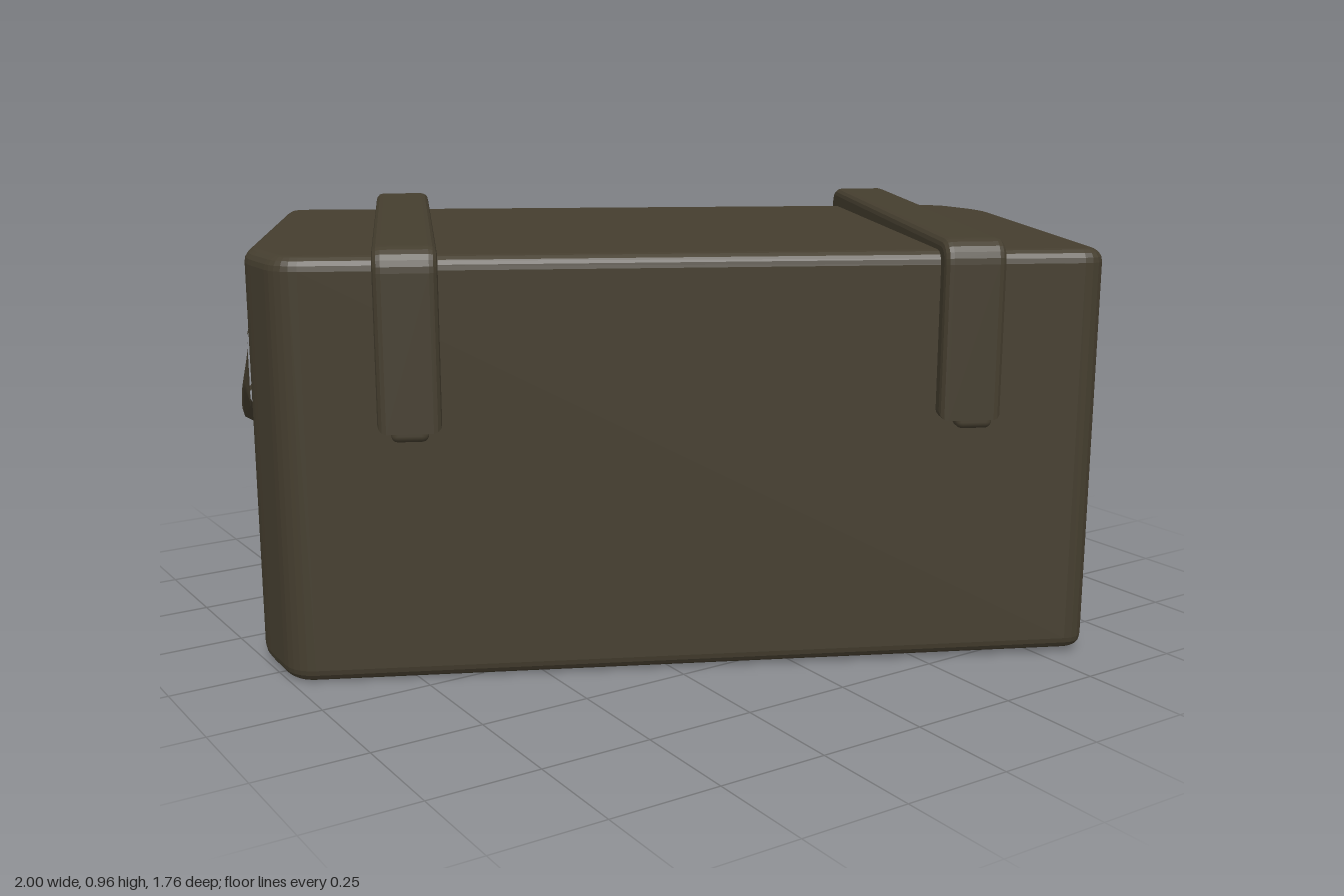
import * as THREE from 'three';
import { RoundedBoxGeometry } from 'three/addons/geometries/RoundedBoxGeometry.js';

const HU = 0.934, HV = 0.53, TOP = 0.93;

// The case is built along u (x), y, v (z), then turned into place
const TURN = -Math.atan2(0.454, 0.891);

function moveVertices(geometry, rule) {
  const p = geometry.attributes.position;
  const v = new THREE.Vector3();
  for (let i = 0; i < p.count; i++) {
    v.fromBufferAttribute(p, i);
    rule(v);
    p.setXYZ(i, v.x, v.y, v.z);
  }
  geometry.computeVertexNormals();
  return geometry;
}

// Closed outline with softened corners
function roundedOutline(corners, r) {
  const shape = new THREE.Shape();
  const pts = corners.map(([x, y]) => new THREE.Vector2(x, y));
  const toward = (a, b) => b.clone().sub(a).setLength(r).add(a);
  pts.forEach((p, i) => {
    const start = toward(p, pts[(i + pts.length - 1) % pts.length]);
    const end = toward(p, pts[(i + 1) % pts.length]);
    if (i === 0) shape.moveTo(start.x, start.y);
    else shape.lineTo(start.x, start.y);
    shape.quadraticCurveTo(p.x, p.y, end.x, end.y);
  });
  shape.closePath();
  return shape;
}

// Body with two opposite corners cut off and a gently sloping base and lid
function bodyGeometry() {
  const b = 0.03;
  const half = [[HU, 0.37], [HU, -HV], [-0.852, -HV]];
  const outline = roundedOutline([...half, ...half.map(([x, y]) => [-x, -y])], 0.05);
  const g = new THREE.ExtrudeGeometry(outline, {
    depth: TOP - 2 * b, bevelEnabled: true, bevelThickness: b, bevelSize: b,
    bevelOffset: -b, bevelSegments: 4, curveSegments: 5,
  });
  g.translate(0, 0, b);
  g.rotateX(-Math.PI / 2);
  return moveVertices(g, (v) => {
    const s = v.x / HU, t = v.z / HV;
    const low = 0.03 - 0.024 * t + 0.006 * s;
    const high = TOP + 0.009 * t - 0.004 * s;
    v.y = low + (v.y / TOP) * (high - low);
  });
}

// U-shaped strap over the lid; the back leg is longer than the front one
function strapGeometry(u, skew) {
  const b = 0.018, out = HV + 0.042 - b, inner = HV - 0.04, top = 0.964 - b, r = 0.035;
  const front = 0.57 + b, back = 0.44 + b;
  const s = new THREE.Shape();
  s.moveTo(-out, front);
  s.lineTo(-inner, front);
  s.lineTo(-inner, TOP - 0.05);
  s.lineTo(inner, TOP - 0.05);
  s.lineTo(inner, back);
  s.lineTo(out, back);
  s.lineTo(out, top - r);
  s.quadraticCurveTo(out, top, out - r, top);
  s.lineTo(-out + r, top);
  s.quadraticCurveTo(-out, top, -out, top - r);
  const depth = 0.1;
  const g = new THREE.ExtrudeGeometry(s, {
    depth, bevelEnabled: true, bevelThickness: b, bevelSize: b, bevelSegments: 3, curveSegments: 6,
  });
  g.translate(0, 0, -depth / 2);
  g.rotateY(Math.PI / 2);
  return moveVertices(g, (v) => { v.x += u + skew * v.z; });
}

// Sagging grip on the end face: stations give (reach, lip height, v)
function handleGeometry() {
  const path = new THREE.CatmullRomCurve3([
    [0, 0.6, -0.36], [0.022, 0.61, -0.29], [0.045, 0.56, -0.17], [0.066, 0.49, -0.03],
    [0.085, 0.48, 0.15], [0.068, 0.49, 0.24], [0.025, 0.54, 0.32], [0, 0.58, 0.38],
  ].map((p) => new THREE.Vector3(...p)));
  const rows = 32, positions = [], index = [];
  let cols = 0;
  for (let i = 0; i <= rows; i++) {
    const { x, y, z } = path.getPoint(i / rows);
    const out = Math.max(0, x);
    const section = [
      [-0.02, y + 0.18], [out * 0.12, y + 0.15], [out * 0.4, y + 0.1], [out * 0.8, y + 0.05],
      [out, y + 0.02], [out * 0.92, y], [out * 0.5, y - 0.015], [out * 0.1, y - 0.04], [-0.02, y - 0.06],
    ];
    cols = section.length;
    for (const [du, py] of section) positions.push(HU + du, py, z);
  }
  for (let i = 0; i < rows; i++) {
    for (let j = 0; j < cols - 1; j++) {
      const a = i * cols + j, b = a + 1, c = a + cols, d = c + 1;
      index.push(a, c, d, a, d, b);
    }
  }
  const g = new THREE.BufferGeometry();
  g.setAttribute('position', new THREE.Float32BufferAttribute(positions, 3));
  g.setIndex(index);
  g.computeVertexNormals();
  return g;
}

export function createModel() {
  const group = new THREE.Group();
  group.name = 'storageCase';
  const olive = new THREE.MeshStandardMaterial({ color: 0x453e2f });
  olive.name = 'dark olive';

  const add = (name, geometry) => {
    const mesh = new THREE.Mesh(geometry.rotateY(TURN), olive);
    mesh.name = name;
    group.add(mesh);
  };

  add('body', bodyGeometry());
  add('rightStrap', strapGeometry(-0.605, 0.045));
  add('leftStrap', strapGeometry(0.625, 0.01));
  add('leftHandle', handleGeometry());
  add('rightHandle', handleGeometry().rotateY(Math.PI));

  // Small latch tabs at the front strap ends
  for (const [u, name] of [[-0.58, 'rightLatch'], [0.64, 'leftLatch']]) {
    const latch = new RoundedBoxGeometry(0.08, 0.05, 0.05, 3, 0.015);
    add(name, latch.translate(u, 0.575, HV + 0.015));
  }
  return group;
}
